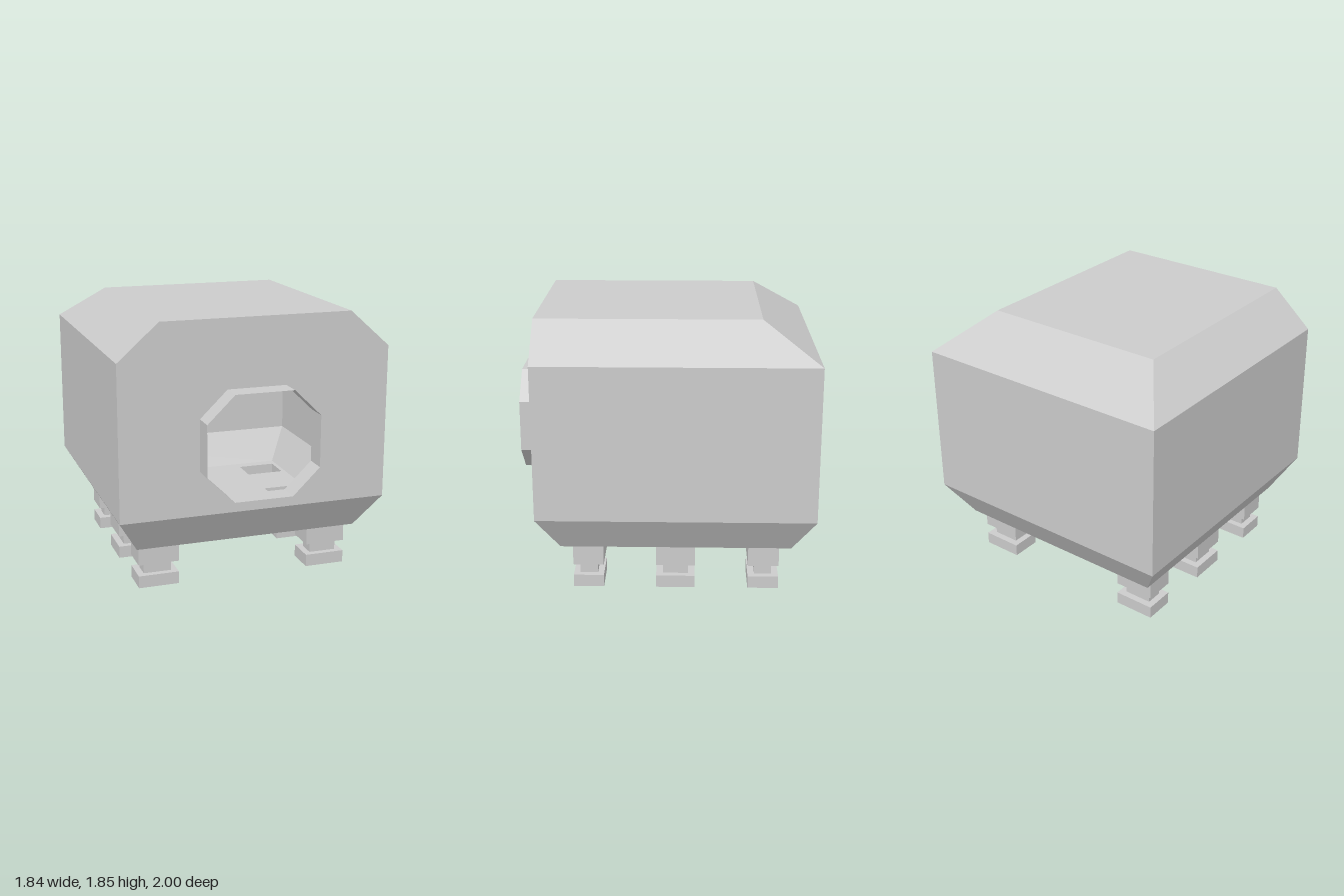
import * as THREE from 'three';

const material = new THREE.MeshStandardMaterial({ color: 0xcccccc, side: THREE.DoubleSide });

// Rectangle at height y, counter-clockwise seen from above.
const rect = (x0, x1, z0, z1, y) => [[x0, y, z1], [x1, y, z1], [x1, y, z0], [x0, y, z0]];

// Flat-shaded skin between successive rings; keep(segment, side) can leave sides out.
function loft(rings, keep = () => true) {
  const pos = [];
  for (let s = 0; s < rings.length - 1; s++) {
    const a = rings[s], b = rings[s + 1], n = a.length;
    for (let i = 0; i < n; i++) {
      if (!keep(s, i)) continue;
      const j = (i + 1) % n;
      pos.push(...a[i], ...a[j], ...b[j], ...a[i], ...b[j], ...b[i]);
    }
  }
  const g = new THREE.BufferGeometry();
  g.setAttribute('position', new THREE.Float32BufferAttribute(pos, 3));
  g.computeVertexNormals();
  return g;
}

// Flat plate with openings, outlines given as [x, y] points.
function plate(outline, holes = []) {
  const vectors = (pts) => pts.map(([x, y]) => new THREE.Vector2(x, y));
  const shape = new THREE.Shape(vectors(outline));
  holes.forEach((h) => shape.holes.push(new THREE.Path(vectors(h))));
  return new THREE.ShapeGeometry(shape);
}

const flat = (r) => r.map(([x, , z]) => [x, z]);

export function createModel() {
  const model = new THREE.Group();
  const add = (name, geometry, parent = model) => {
    const mesh = new THREE.Mesh(geometry, material);
    mesh.name = name;
    parent.add(mesh);
    return mesh;
  };

  // Hollow body: floor, waist, shoulder and roof outlines
  const floor = rect(-0.775, 0.775, -0.85, 0.7, 0.31);
  const waist = rect(-0.92, 0.92, -1, 0.85, 0.555);
  const shoulder = rect(-0.92, 0.92, -1, 0.85, 1.6);
  const roof = rect(-0.645, 0.645, -0.63, 0.85, 1.845);
  const body = new THREE.Group();
  body.name = 'body';
  model.add(body);
  add('bodyWalls', loft([floor, waist, shoulder, roof], (s, i) => s === 0 || i !== 0), body);
  add('roof', plate(flat(roof)).rotateX(-Math.PI / 2).translate(0, 1.845, 0.22), body)
    .geometry.translate(0, 0, 0);
  body.getObjectByName('roof').geometry.dispose();
  body.getObjectByName('roof').geometry =
    new THREE.PlaneGeometry(1.29, 1.48).rotateX(-Math.PI / 2).translate(0, 1.845, 0.11);

  // Octagonal nozzle, open into the body
  const octagon = [
    [-0.2, 0.675], [0.2, 0.675], [0.385, 0.855], [0.385, 1.205],
    [0.2, 1.385], [-0.2, 1.385], [-0.385, 1.205], [-0.385, 0.855],
  ];
  const ringAt = (z) => octagon.map(([x, y]) => [x, y, z]);
  add('nozzle', loft([ringAt(0.85), ringAt(1)]));
  const front = [[-0.92, 0.555], [0.92, 0.555], [0.92, 1.6], [0.645, 1.845], [-0.645, 1.845], [-0.92, 1.6]];
  add('frontWall', plate(front, [octagon]).translate(0, 0, 0.85), body);

  // Hollow stepped legs: [z centre, half depth, neck half depth]
  const openings = [];
  const rows = [['front', 0.517, 0.103, 0.06], ['middle', -0.073, 0.132, 0.086], ['back', -0.668, 0.104, 0.058]];
  for (const [row, z, d, neck] of rows) {
    for (const side of [-1, 1]) {
      const x = side * 0.605;
      const wide = (y) => rect(x - 0.14, x + 0.14, z - d, z + d, y);
      const slim = (y) => rect(x - 0.095, x + 0.095, z - neck, z + neck, y);
      add(`${row}Leg${side > 0 ? 'Left' : 'Right'}`,
        loft([wide(0), wide(0.085), slim(0.085), slim(0.163), wide(0.163), wide(0.31)]));
      openings.push(flat(wide(0.31)));
    }
  }

  // Floor, open above each leg
  add('floor', plate(flat(floor), openings).rotateX(Math.PI / 2).translate(0, 0.31, 0), body);
  return model;
}
